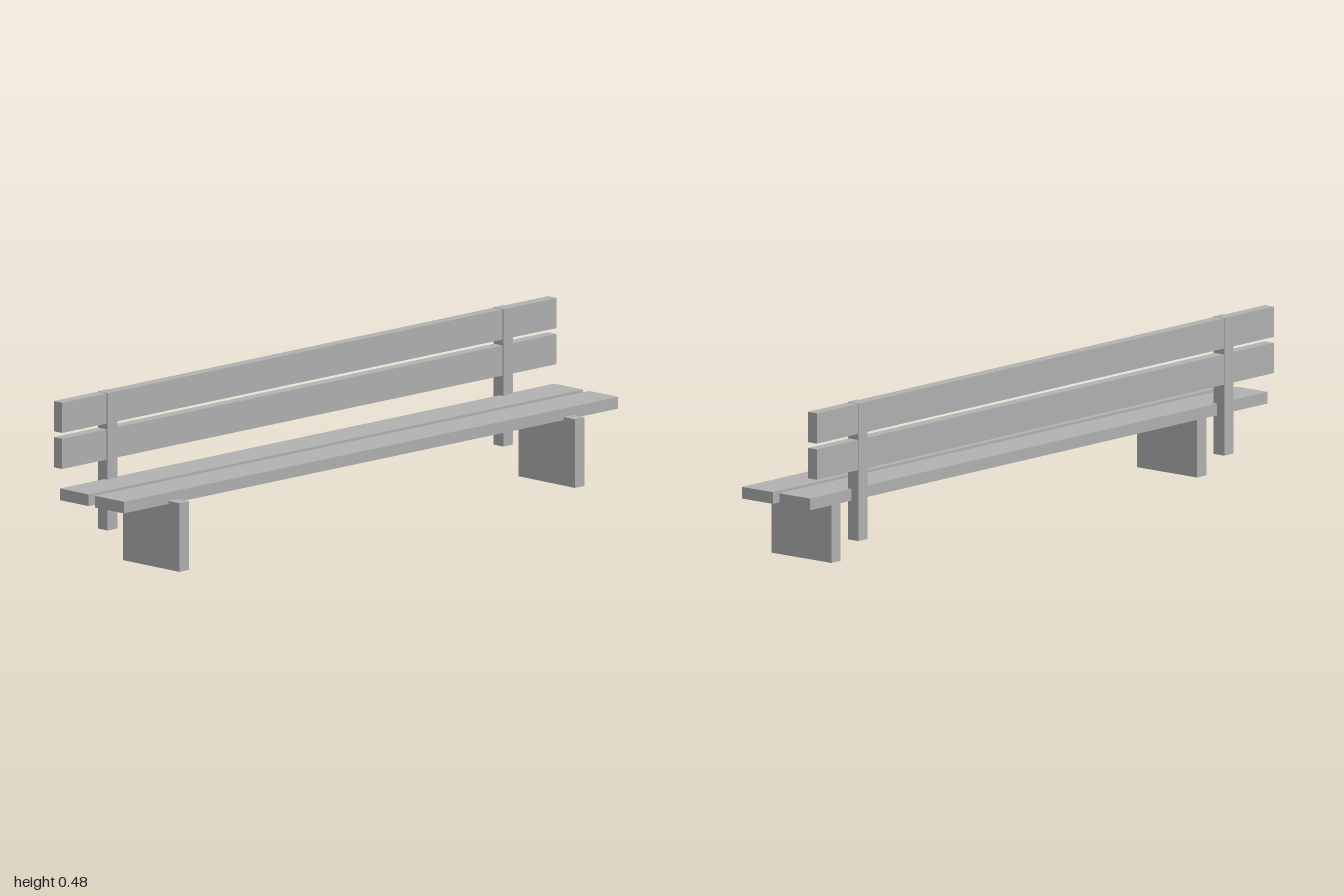
import * as THREE from 'three';

export function createModel() {
  const bench = new THREE.Group();
  bench.name = 'bench';
  const grey = new THREE.MeshStandardMaterial({ color: 0xb2b2b2 });
  grey.name = 'grey';

  // Box given by its centre x, width, and y and z ranges
  function addBox(name, x, width, [y0, y1], [z0, z1]) {
    const mesh = new THREE.Mesh(new THREE.BoxGeometry(width, y1 - y0, z1 - z0), grey);
    mesh.position.set(x, (y0 + y1) / 2, (z0 + z1) / 2);
    mesh.name = name;
    bench.add(mesh);
  }

  // Seat planks
  addBox('frontSeatPlank', 0, 2, [0.191, 0.225], [0.004, 0.12]);
  addBox('rearSeatPlank', 0, 2, [0.191, 0.225], [-0.136, -0.021]);

  // Backrest planks
  addBox('lowerBackPlank', 0, 2, [0.283, 0.371], [-0.161, -0.127]);
  addBox('upperBackPlank', 0, 2, [0.388, 0.476], [-0.161, -0.127]);

  // Slab legs and backrest posts on both sides
  for (const [side, x] of [['left', 0.8], ['right', -0.8]]) {
    addBox(side + 'Leg', x, 0.04, [0, 0.2], [-0.061, 0.164]);
    addBox(side + 'BackPost', x, 0.04, [0.077, 0.477], [-0.163, -0.123]);
  }

  return bench;
}
